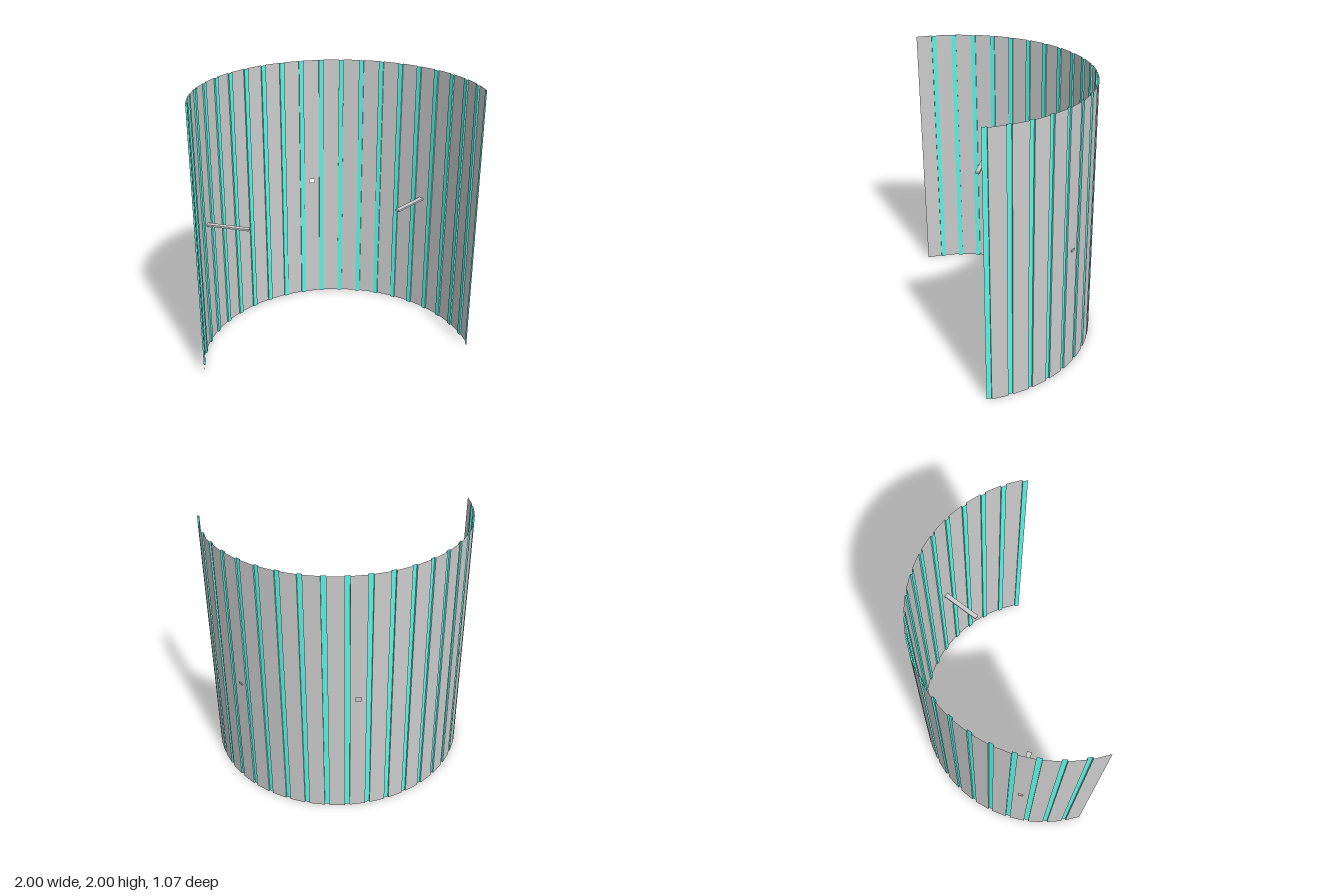
import * as THREE from 'three';

const HEIGHT = 2, RADIUS = 1, CENTRE_Z = 0.463;
const PITCH = 0.155;        // angle of one panel plus one rib
const HALF_PANEL = 0.0595;  // half the angle of a panel
const RIB_STEP = 0.012;     // ribs sit slightly inside the panels

const grey = new THREE.MeshStandardMaterial({ color: 0xcccccc, side: THREE.DoubleSide });
const teal = new THREE.MeshStandardMaterial({ color: 0x5cf5e6, side: THREE.DoubleSide });

// Point on the arc in plan, angle measured from the back
const arcPoint = (angle, r) =>
  new THREE.Vector2(r * Math.sin(angle), CENTRE_Z - r * Math.cos(angle));

// Upright flat sheet standing between two plan points, with an optional peephole
function sheet(name, a, b, material, hole) {
  const w = a.distanceTo(b);
  let geometry;
  if (hole) {
    const shape = new THREE.Shape([
      new THREE.Vector2(-w / 2, -HEIGHT / 2), new THREE.Vector2(w / 2, -HEIGHT / 2),
      new THREE.Vector2(w / 2, HEIGHT / 2), new THREE.Vector2(-w / 2, HEIGHT / 2)]);
    const { x, y0, y1 } = hole;
    shape.holes.push(new THREE.Path([
      new THREE.Vector2(-x, y0), new THREE.Vector2(-x, y1),
      new THREE.Vector2(x, y1), new THREE.Vector2(x, y0)]));
    geometry = new THREE.ShapeGeometry(shape);
  } else {
    geometry = new THREE.PlaneGeometry(w, HEIGHT);
  }
  const mesh = new THREE.Mesh(geometry, material);
  mesh.name = name;
  mesh.position.set((a.x + b.x) / 2, HEIGHT / 2, (a.y + b.y) / 2);
  mesh.rotation.y = -Math.atan2(b.y - a.y, b.x - a.x);
  return mesh;
}

// Thin level bar between two plan points
function bar(name, x0, z0, x1, z1) {
  const length = Math.hypot(x1 - x0, z1 - z0);
  const mesh = new THREE.Mesh(new THREE.BoxGeometry(length, 0.014, 0.036), grey);
  mesh.name = name;
  mesh.position.set((x0 + x1) / 2, 0.954, (z0 + z1) / 2);
  mesh.rotation.y = -Math.atan2(z1 - z0, x1 - x0);
  return mesh;
}

export function createModel() {
  const model = new THREE.Group();
  model.name = 'curvedScreen';

  const wall = new THREE.Group();
  wall.name = 'curvedWall';
  model.add(wall);

  // Wide panels, each followed by a narrow stepped-in rib
  for (let i = -10; i <= 10; i++) {
    const start = i * PITCH - HALF_PANEL;
    const end = i * PITCH + HALF_PANEL;
    const next = start + PITCH;
    const hole = i === 0 ? { x: 0.02, y0: -0.003, y1: 0.027 } : null;
    wall.add(sheet('panel', arcPoint(start, RADIUS), arcPoint(end, RADIUS), grey, hole));

    const r = RADIUS - RIB_STEP;
    wall.add(sheet('rib', arcPoint(end, r), arcPoint(next, r), teal));
    wall.add(sheet('ribEdge', arcPoint(end, RADIUS), arcPoint(end, r), teal));
    if (i < 10) wall.add(sheet('ribEdge', arcPoint(next, r), arcPoint(next, RADIUS), teal));
  }

  // Bars reaching inward from the wall
  model.add(bar('rightBar', -0.892, -0.01, -0.596, 0.143));
  model.add(bar('leftBar', 0.802, -0.142, 0.548, 0.045));
  return model;
}
